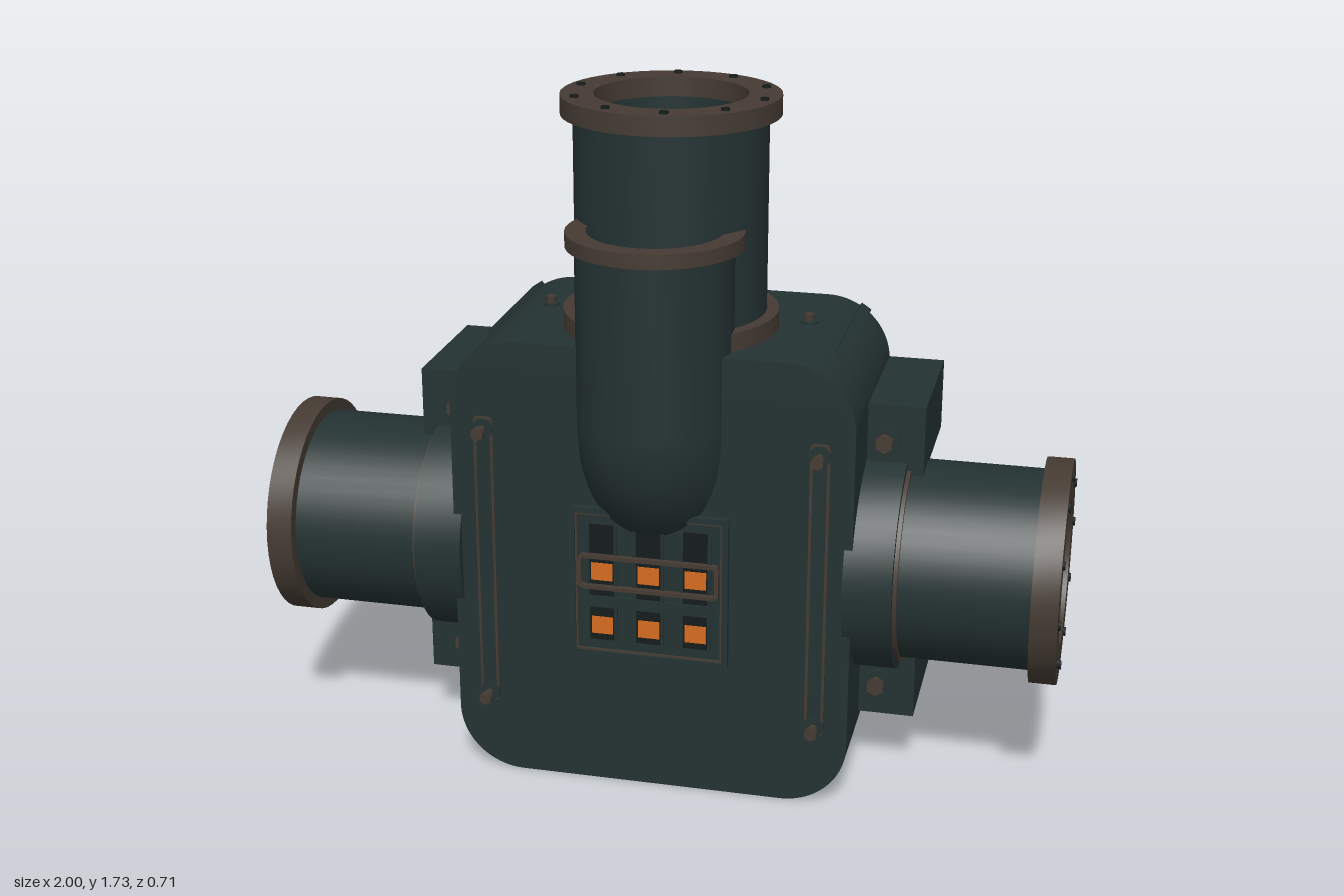
import * as THREE from 'three';
import { toCreasedNormals } from 'three/addons/utils/BufferGeometryUtils.js';

const mat = (name, color) => {
  const m = new THREE.MeshStandardMaterial({ color });
  m.name = name;
  return m;
};

export function createModel() {
  const model = new THREE.Group();
  model.name = 'pipeJunctionFurnace';
  const iron = mat('dark teal iron', 0x243232);
  const rust = mat('brown metal', 0x453b33);
  const shade = mat('slot black', 0x141b1b);
  const glow = mat('ember orange', 0xd66c20);

  const add = (name, geo, material, x = 0, y = 0, z = 0, parent = model) => {
    const m = new THREE.Mesh(geo, material);
    m.name = name;
    m.position.set(x, y, z);
    parent.add(m);
    return m;
  };
  const box = (name, w, h, d, material, x, y, z, parent) =>
    add(name, new THREE.BoxGeometry(w, h, d), material, x, y, z, parent);

  // Hollow ring or pipe around y, from y0 to y1
  const ring = (ri, ro, y0, y1) => toCreasedNormals(new THREE.LatheGeometry(
    [[ri, y0], [ro, y0], [ro, y1], [ri, y1], [ri, y0]].map(p => new THREE.Vector2(...p)), 48), 0.6);

  // Rounded rectangle, optionally as a frame with an opening
  const roundRect = (w, h, r, P = THREE.Shape) => {
    const s = new P(), a = w / 2, b = h / 2;
    s.absarc(a - r, b - r, r, 0, Math.PI / 2);
    s.absarc(-a + r, b - r, r, Math.PI / 2, Math.PI);
    s.absarc(-a + r, -b + r, r, Math.PI, Math.PI * 1.5);
    s.absarc(a - r, -b + r, r, Math.PI * 1.5, Math.PI * 2);
    s.closePath();
    return s;
  };
  const extrude = (shape, depth) => toCreasedNormals(
    new THREE.ExtrudeGeometry(shape, { depth, bevelEnabled: false, curveSegments: 12 }), 0.6);
  const frame = (w, h, r, t, depth) => {
    const s = roundRect(w, h, r);
    s.holes.push(roundRect(w - 2 * t, h - 2 * t, Math.max(r - t, 0.004), THREE.Path));
    return extrude(s, depth);
  };

  // Bolt pointing along +z: washer, shank and hexagonal head
  const bolt = (name, x, y, z, r, length) => {
    const g = new THREE.Group();
    g.name = name;
    g.position.set(x, y, z);
    const part = (n, rad, h, at, sides, m) =>
      add(n, new THREE.CylinderGeometry(rad, rad, h, sides).rotateX(Math.PI / 2), m, 0, 0, at, g);
    part('washer', r, 0.008, 0.004, 20, iron);
    part('shank', r * 0.35, length, length / 2, 12, rust);
    part('head', r * 0.65, 0.018, length - 0.009, 6, rust);
    model.add(g);
    return g;
  };

  // Ring of small bolt heads on a flange
  const flangeBolts = (parent, radius, y) => {
    for (let i = 0; i < 10; i++) {
      const a = (9 + i * 36) * Math.PI / 180;
      add('flangeBolt', new THREE.CylinderGeometry(0.011, 0.011, 0.01, 6), shade,
        Math.cos(a) * radius, y, Math.sin(a) * radius, parent);
    }
  };

  // Main housing
  add('housing', extrude(roundRect(1, 1.155, 0.165), 0.565), iron, 0, 0.5775, -0.355);

  // Vertical chimney pipe
  const chimney = new THREE.Group();
  chimney.name = 'chimney';
  chimney.position.z = -0.025;
  model.add(chimney);
  add('chimneyPipe', ring(0.188, 0.235, 1.15, 1.685), iron, 0, 0, 0, chimney);
  add('chimneyCollar', ring(0.2, 0.265, 1.15, 1.2), rust, 0, 0, 0, chimney);
  add('chimneyFlange', ring(0.185, 0.265, 1.68, 1.728), rust, 0, 0, 0, chimney);
  flangeBolts(chimney, 0.235, 1.729);

  // Elbow pipe bending back into the front
  add('elbowPipe', ring(0.165, 0.19, 0.97, 1.41), iron, 0, 0, 0.145);
  const bend = new THREE.TorusGeometry(0.21, 0.19, 40, 24, Math.PI / 2);
  bend.rotateX(Math.PI).rotateY(-Math.PI / 2);
  add('elbowBend', bend, iron, 0, 0.97, -0.065);
  add('elbowFloor', new THREE.CylinderGeometry(0.17, 0.17, 0.01, 40), iron, 0, 0.98, 0.145);
  add('elbowFlange', ring(0.163, 0.213, 1.4, 1.436), rust, 0, 0, 0.142);

  for (const s of [-1, 1]) {
    // Side pipe, built along y and turned outward
    const pipe = new THREE.Group();
    pipe.name = s > 0 ? 'leftPipe' : 'rightPipe';
    pipe.position.set(0, 0.58, -0.045);
    pipe.rotation.z = -s * Math.PI / 2;
    model.add(pipe);
    add('sidePipe', ring(0.182, 0.25, 0.49, 0.93), iron, 0, 0, 0, pipe);
    add('sideCollar', ring(0.2, 0.28, 0.48, 0.6), iron, 0, 0, 0, pipe);
    add('sideCollarTrim', ring(0.24, 0.262, 0.595, 0.61), rust, 0, 0, 0, pipe);
    add('sideFlange', ring(0.18, 0.28, 0.928, 0.994), rust, 0, 0, 0, pipe);
    flangeBolts(pipe, 0.24, 0.995);

    // Mounting lugs with bolts
    for (const [y, h, by] of [[0.91, 0.18, 0.91], [0.255, 0.175, 0.255]]) {
      box('mountingLug', 0.16, h, 0.37, iron, s * 0.56, y, -0.17);
      bolt('lugBolt', s * 0.545, by, 0.015, 0.036, 0.036);
    }

    // Front strap with end bolts
    add('frontStrap', frame(0.048, 0.77, 0.012, 0.007, 0.006), rust, s * 0.417, 0.575, 0.208);
    box('strapPlate', 0.036, 0.756, 0.006, iron, s * 0.417, 0.575, 0.211);
    for (const y of [0.215, 0.93]) bolt('strapBolt', s * 0.417, y, 0.212, 0.026, 0.05);

    // Weld strips on the rounded corners
    for (const [y, t] of [[1.127, 1], [0.028, -1]]) {
      const strip = box('cornerStrip', 0.03, 0.016, 0.4, iron, s * 0.433, y, -0.145);
      strip.rotation.z = -s * t * 0.6;
    }

    // Small bolts on the roof
    bolt('roofBolt', s * 0.33, 1.153, -0.105, 0.02, 0.026).rotation.x = -Math.PI / 2;
  }

  // Firebox grille
  add('grilleFrame', frame(0.4, 0.4, 0.006, 0.015, 0.018), iron, 0, 0.55, 0.208);
  add('grilleTrim', frame(0.37, 0.37, 0.005, 0.005, 0.012), rust, 0, 0.55, 0.209);
  box('grillePlate', 0.36, 0.36, 0.008, iron, 0, 0.55, 0.212);
  for (const x of [-0.118, 0, 0.118]) {
    box('grilleSlot', 0.062, 0.31, 0.006, shade, x, 0.55, 0.215);
    for (const y of [0.435, 0.58]) box('emberWindow', 0.054, 0.046, 0.004, glow, x, y, 0.218);
    for (const e of [-1, 1]) box('slotRib', 0.008, 0.31, 0.012, iron, x + e * 0.035, 0.55, 0.216);
  }
  box('grilleCrossbar', 0.33, 0.03, 0.01, iron, 0, 0.5, 0.217);
  add('grilleGuard', frame(0.355, 0.092, 0.015, 0.01, 0.014), rust, 0, 0.582, 0.218);

  return model;
}
